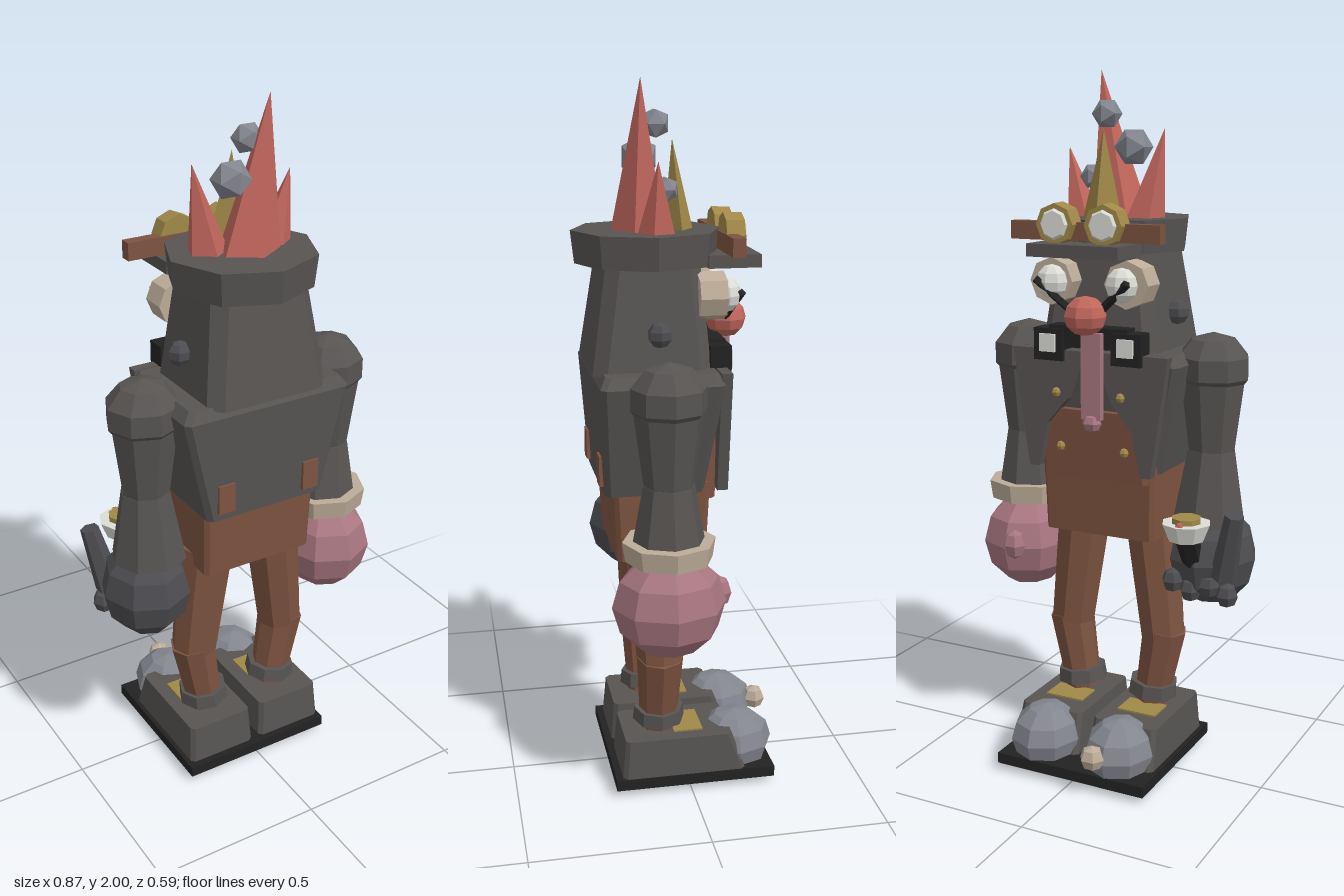
import * as THREE from 'three';

const paint = (name, color) => {
  const m = new THREE.MeshStandardMaterial({ color, flatShading: true });
  m.name = name;
  return m;
};

// Stack of chamfered rectangles: each section is [y, x0, x1, z0, z1]
function loft(sections, c = 0.03) {
  const pos = [], idx = [], n = 8;
  for (const [y, x0, x1, z0, z1] of sections) {
    const ring = [[x0 + c, z1], [x1 - c, z1], [x1, z1 - c], [x1, z0 + c],
      [x1 - c, z0], [x0 + c, z0], [x0, z0 + c], [x0, z1 - c]];
    for (const [x, z] of ring) pos.push(x, y, z);
  }
  const last = (sections.length - 1) * n;
  for (let s = 0; s < last; s += n) {
    for (let i = 0; i < n; i++) {
      const a = s + i, b = s + (i + 1) % n;
      idx.push(a, b, b + n, a, b + n, a + n);
    }
  }
  for (let i = 1; i < n - 1; i++) {
    idx.push(0, i + 1, i);
    idx.push(last, last + i, last + i + 1);
  }
  const g = new THREE.BufferGeometry();
  g.setAttribute('position', new THREE.Float32BufferAttribute(pos, 3));
  g.setIndex(idx);
  g.computeVertexNormals();
  return g;
}

export function createModel() {
  const model = new THREE.Group();
  const coat = paint('charcoal', 0x575452), glove = paint('slate', 0x4d4d51);
  const black = paint('black', 0x222222), brown = paint('brown', 0x7d5340);
  const red = paint('red', 0xc0665c), pink = paint('pink', 0xa87680);
  const skin = paint('sand', 0xbcac98), gold = paint('gold', 0xa08848);
  const grey = paint('grey', 0x84868f), white = paint('white', 0xdcdcd6);

  const add = (name, geo, mat, x = 0, y = 0, z = 0) => {
    const m = new THREE.Mesh(geo, mat);
    m.name = name;
    m.position.set(x, y, z);
    model.add(m);
    return m;
  };
  const box = (name, mat, x0, x1, y0, y1, z0, z1) => add(name,
    new THREE.BoxGeometry(x1 - x0, y1 - y0, z1 - z0), mat, (x0 + x1) / 2, (y0 + y1) / 2, (z0 + z1) / 2);
  const ball = (name, mat, x, y, z, rx, ry = rx, rz = rx, w = 8, h = 6) =>
    add(name, new THREE.SphereGeometry(1, w, h).scale(rx, ry, rz), mat, x, y, z);
  // Tapered prism running from point a to point b
  const limb = (name, mat, a, b, ra, rb, sides = 8) => {
    const p = new THREE.Vector3(...a), q = new THREE.Vector3(...b), d = q.clone().sub(p);
    const m = add(name, new THREE.CylinderGeometry(rb, ra, d.length(), sides), mat);
    m.position.copy(p).add(q).multiplyScalar(0.5);
    m.quaternion.setFromUnitVectors(new THREE.Vector3(0, 1, 0), d.normalize());
    return m;
  };
  // Spike with a flat base and an offset tip
  const spike = (name, mat, x, z, rx, rz, tip, sides = 5) => {
    const h = tip[1] - 1.59, g = new THREE.ConeGeometry(1, h, sides);
    const p = g.attributes.position;
    for (let i = 0; i < p.count; i++) {
      const t = p.getY(i) / h + 0.5;
      p.setXYZ(i, p.getX(i) * rx + t * (tip[0] - x), p.getY(i), p.getZ(i) * rz + t * (tip[2] - z));
    }
    g.computeVertexNormals();
    add(name, g, mat, x, 1.59 + h / 2, z);
  };

  // Base and shoes
  box('base', black, -0.24, 0.23, 0.02, 0.052, -0.245, 0.22);
  for (const s of [-1, 1]) {
    const cx = s * 0.12;
    add('shoe', loft([[0.05, cx - 0.107, cx + 0.107, -0.16, 0.2], [0.165, cx - 0.1, cx + 0.1, -0.12, 0.19]], 0.012), coat);
    ball('toeCap', grey, cx, 0.097, -0.145, 0.103, 0.097, 0.115);
    box('shoeTrim', gold, cx - 0.06, cx + 0.06, 0.15, 0.17, -0.04, 0.045);
  }
  ball('bareToe', skin, -0.09, 0.115, -0.26, 0.037, 0.037, 0.035, 6, 4);

  // Legs and trousers
  for (const s of [-1, 1]) {
    limb('thigh', brown, [s * 0.15, 0.385, 0.08], [s * 0.11, 0.73, 0.085], 0.067, 0.082);
    limb('shin', brown, [s * 0.115, 0.17, 0.08], [s * 0.155, 0.4, 0.08], 0.054, 0.068);
    limb('ankleCuff', coat, [s * 0.118, 0.19, 0.08], [s * 0.122, 0.23, 0.08], 0.076, 0.072);
  }
  add('trousers', loft([[0.70, -0.175, 0.17, -0.05, 0.2], [0.92, -0.18, 0.175, -0.06, 0.21]], 0.012), brown);

  // Jacket, bib, back patches and buttons
  add('jacket', loft([[0.895, -0.185, 0.185, -0.04, 0.235], [1.21, -0.26, 0.255, -0.085, 0.252],
    [1.24, -0.235, 0.23, -0.07, 0.235]], 0.015), coat);
  add('bib', loft([[0.87, -0.165, 0.165, -0.075, 0], [1.07, -0.165, 0.165, -0.09, 0]], 0.012), brown);
  for (const s of [-1, 1]) {
    const lapel = new THREE.Shape([[0.24, 1.24], [0.02, 1.24], [0.07, 1.1], [0.13, 1.03], [0.16, 0.9], [0.19, 0.9]]
      .map(([x, y]) => new THREE.Vector2(s * x, y)));
    const m = add('lapel', new THREE.ExtrudeGeometry(lapel, { depth: 0.03, bevelEnabled: false }), coat, 0, 0, -0.105);
    m.name = 'lapel';
    box('backPatch', brown, s * 0.135 - 0.025, s * 0.135 + 0.025, 0.92, 1.005, 0.236, 0.248);
    for (const y of [0.96, 1.12]) ball('button', gold, s * 0.1, y, -0.108 + (y < 1 ? 0.025 : 0), 0.014, 0.014, 0.014, 6, 4);
  }

  // Arms
  for (const s of [-1, 1]) {
    const x = s * 0.295;
    ball('shoulder', coat, x, 1.195, 0.08, 0.11, 0.097, 0.108, 8, 5);
    limb('upperArm', coat, [x, 0.94, 0.08], [x, 1.17, 0.08], 0.066, 0.096);
    limb('forearm', coat, [x - s * 0.005, 0.75, 0.08], [x, 0.96, 0.08], 0.108, 0.07);
  }

  // Bare hand with its cuff
  limb('cuff', skin, [0.295, 0.75, 0.08], [0.295, 0.805, 0.08], 0.12, 0.128);
  ball('bareHand', pink, 0.298, 0.62, 0.08, 0.138, 0.148, 0.158, 8, 6);
  ball('bareThumb', pink, 0.27, 0.635, -0.065, 0.035, 0.045, 0.035, 6, 4);

  // Gloved hand holding a round gauge
  ball('glovedHand', glove, -0.305, 0.65, 0.08, 0.128, 0.142, 0.14, 8, 6);
  limb('gloveThumb', glove, [-0.375, 0.62, -0.01], [-0.415, 0.81, -0.04], 0.04, 0.027, 6);
  for (let i = 0; i < 4; i++) ball('gloveFinger', glove, -0.39 + i * 0.055, 0.57 + (i % 2) * 0.02, -0.02, 0.033, 0.036, 0.035, 6, 4);
  limb('gaugeStem', black, [-0.29, 0.66, -0.03], [-0.29, 0.75, -0.08], 0.03, 0.035, 6);
  limb('gaugeRim', white, [-0.29, 0.735, -0.08], [-0.29, 0.785, -0.08], 0.05, 0.07);
  limb('gaugeFace', gold, [-0.29, 0.77, -0.08], [-0.29, 0.8, -0.08], 0.042, 0.042);
  ball('gaugeKnob', red, -0.29, 0.785, -0.128, 0.012, 0.012, 0.01, 6, 4);

  // Head and hat
  add('head', loft([[1.23, -0.185, 0.185, -0.065, 0.26], [1.53, -0.145, 0.145, -0.04, 0.215]], 0.035), coat);
  add('hatBrim', new THREE.CylinderGeometry(0.208, 0.198, 0.09, 8), coat, 0, 1.555, 0.088);
  box('visor', coat, -0.14, 0.135, 1.505, 1.54, -0.205, -0.06);
  box('goggleStrap', brown, -0.23, 0.22, 1.545, 1.595, -0.14, -0.105);

  // Face
  for (const s of [-1, 1]) {
    const gx = s * 0.073, ex = s * 0.115;
    limb('goggleRing', gold, [gx, 1.59, -0.11], [gx, 1.59, -0.162], 0.058, 0.056);
    limb('goggleLens', white, [gx, 1.59, -0.16], [gx, 1.59, -0.17], 0.044, 0.036);
    limb('eyeSocket', skin, [ex, 1.43, -0.03], [ex, 1.43, -0.105], 0.066, 0.066);
    ball('eye', white, ex * 0.93, 1.43, -0.115, 0.048, 0.048, 0.04);
    ball('headBolt', glove, s * 0.183, 1.34, 0.083, 0.035, 0.035, 0.035, 6, 5);
    limb('cheekBar', black, [s * 0.05, 1.36, -0.125], [s * 0.14, 1.44, -0.15], 0.012, 0.012, 4);
    box('mouthCorner', black, s * 0.12 - 0.045, s * 0.12 + 0.045, 1.21, 1.3, -0.118, -0.06);
    box('tooth', white, s * 0.12 - 0.024, s * 0.12 + 0.024, 1.235, 1.285, -0.126, -0.117);
  }
  box('mouth', black, -0.12, 0.12, 1.25, 1.31, -0.11, -0.06);
  ball('nose', red, -0.01, 1.345, -0.14, 0.062, 0.055, 0.058);
  box('tongue', pink, -0.06, 0.0, 1.06, 1.3, -0.15, -0.13);
  ball('tongueTip', pink, -0.03, 1.05, -0.142, 0.03, 0.026, 0.024, 6, 4);

  // Spikes and puffs on the hat
  spike('tallSpike', red, 0.01, 0.11, 0.09, 0.078, [0.07, 2.0, 0.112]);
  spike('sideSpike', red, -0.085, 0.065, 0.06, 0.055, [-0.14, 1.84, 0.08]);
  spike('sideSpike', red, 0.105, 0.075, 0.052, 0.055, [0.155, 1.79, 0.08]);
  spike('goldSpike', gold, 0.01, 0.0, 0.062, 0.042, [0.015, 1.84, 0.018], 4);
  for (const [x, y, z, r] of [[-0.037, 1.79, 0.1, 0.055], [0.03, 1.88, 0.068, 0.043], [0.062, 1.71, 0.045, 0.037]])
    add('puff', new THREE.IcosahedronGeometry(r, 0), grey, x, y, z);

  return model;
}
